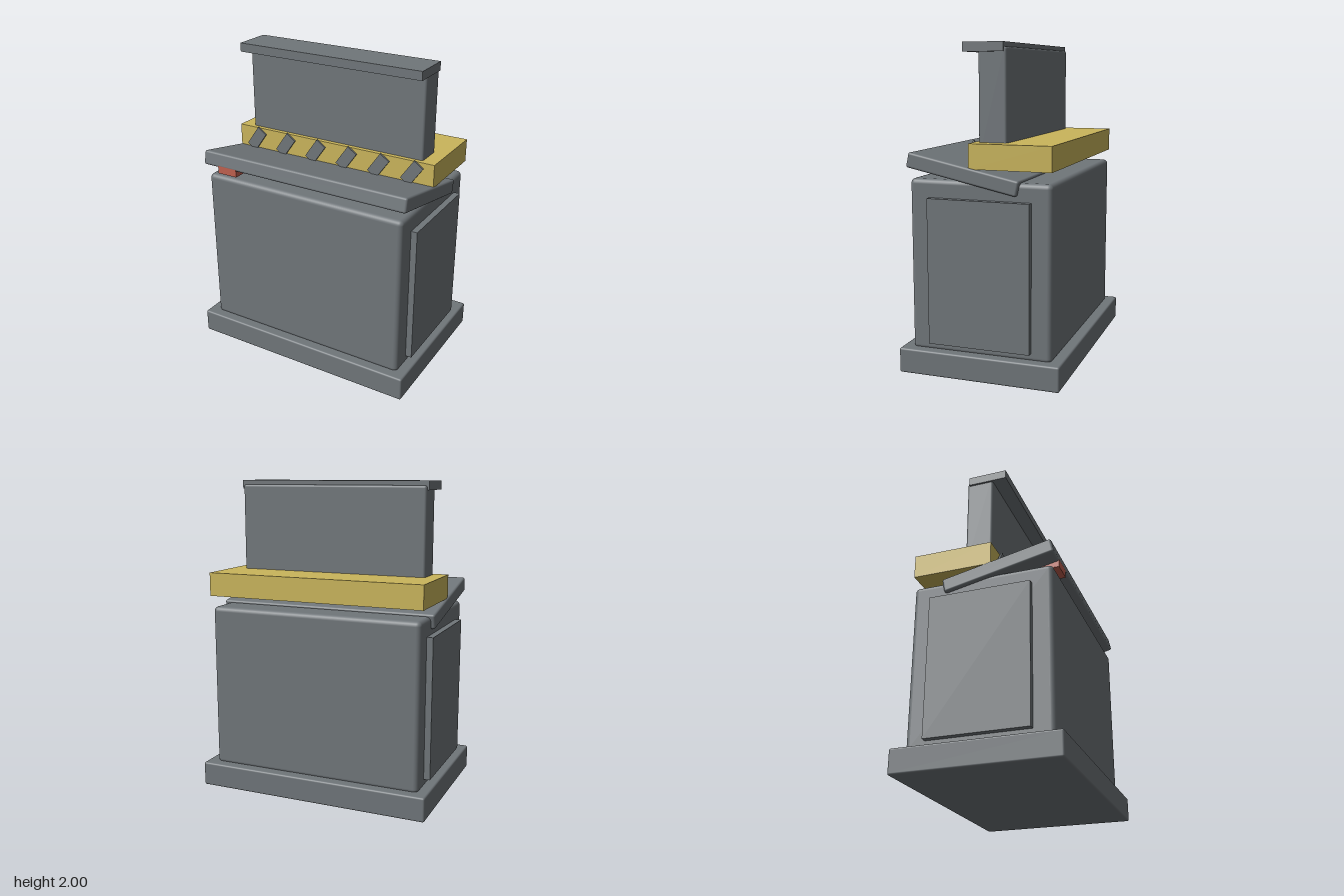
import * as THREE from 'three';
import { RoundedBoxGeometry } from 'three/addons/geometries/RoundedBoxGeometry.js';

export function createModel() {
  const group = new THREE.Group();
  const mat = (name, color) => Object.assign(new THREE.MeshStandardMaterial({ color }), { name });
  const steel = mat('steel grey', 0x70767a);
  const yellow = mat('hazard yellow', 0xcab55b);
  const red = mat('button red', 0xc0604f);

  // Box from min/max corners; r > 0 rounds its edges
  function box(name, material, [x0, x1], [y0, y1], [z0, z1], r = 0) {
    const w = x1 - x0, h = y1 - y0, d = z1 - z0;
    const geo = r ? new RoundedBoxGeometry(w, h, d, 3, r) : new THREE.BoxGeometry(w, h, d);
    const mesh = new THREE.Mesh(geo, material);
    mesh.name = name;
    mesh.position.set((x0 + x1) / 2, (y0 + y1) / 2, (z0 + z1) / 2);
    group.add(mesh);
    return mesh;
  }

  // Plinth and cabinet
  box('base', steel, [-0.765, 0.765], [0, 0.155], [-0.51, 0.51], 0.012);
  box('cabinet', steel, [-0.7, 0.7], [0.14, 1.2], [-0.443, 0.447], 0.03);
  for (const s of [-1, 1]) {
    const x = [0.69 * s, 0.74 * s].sort((a, b) => a - b);
    box(s > 0 ? 'leftSidePanel' : 'rightSidePanel', steel, x, [0.197, 1.09], [-0.32, 0.32]);
  }

  // Tilted control desk with a button block under its front edge
  const desk = box('controlDesk', steel, [-0.725, 0.725], [1.194, 1.287], [-0.25, 0.46], 0.014);
  desk.rotation.x = -0.208;
  box('redButton', red, [-0.61, -0.47], [1.227, 1.277], [0.32, 0.46]);

  // Warning band with slanted stripes on its front
  box('warningBand', yellow, [-0.715, 0.715], [1.27, 1.42], [-0.445, 0.062]);
  for (let i = 0; i < 6; i++) {
    const x = -0.575 + i * 0.23;
    const stripe = box('warningStripe', steel, [x - 0.0375, x + 0.0375], [1.268, 1.422], [0.069, 0.081]);
    stripe.rotation.z = -0.61;
  }

  // Upright display housing and its overhanging cap
  box('displayHousing', steel, [-0.625, 0.625], [1.36, 1.972], [-0.143, 0.032], 0.015);
  box('cap', steel, [-0.638, 0.638], [1.944, 2], [-0.127, 0.125]);

  return group;
}
